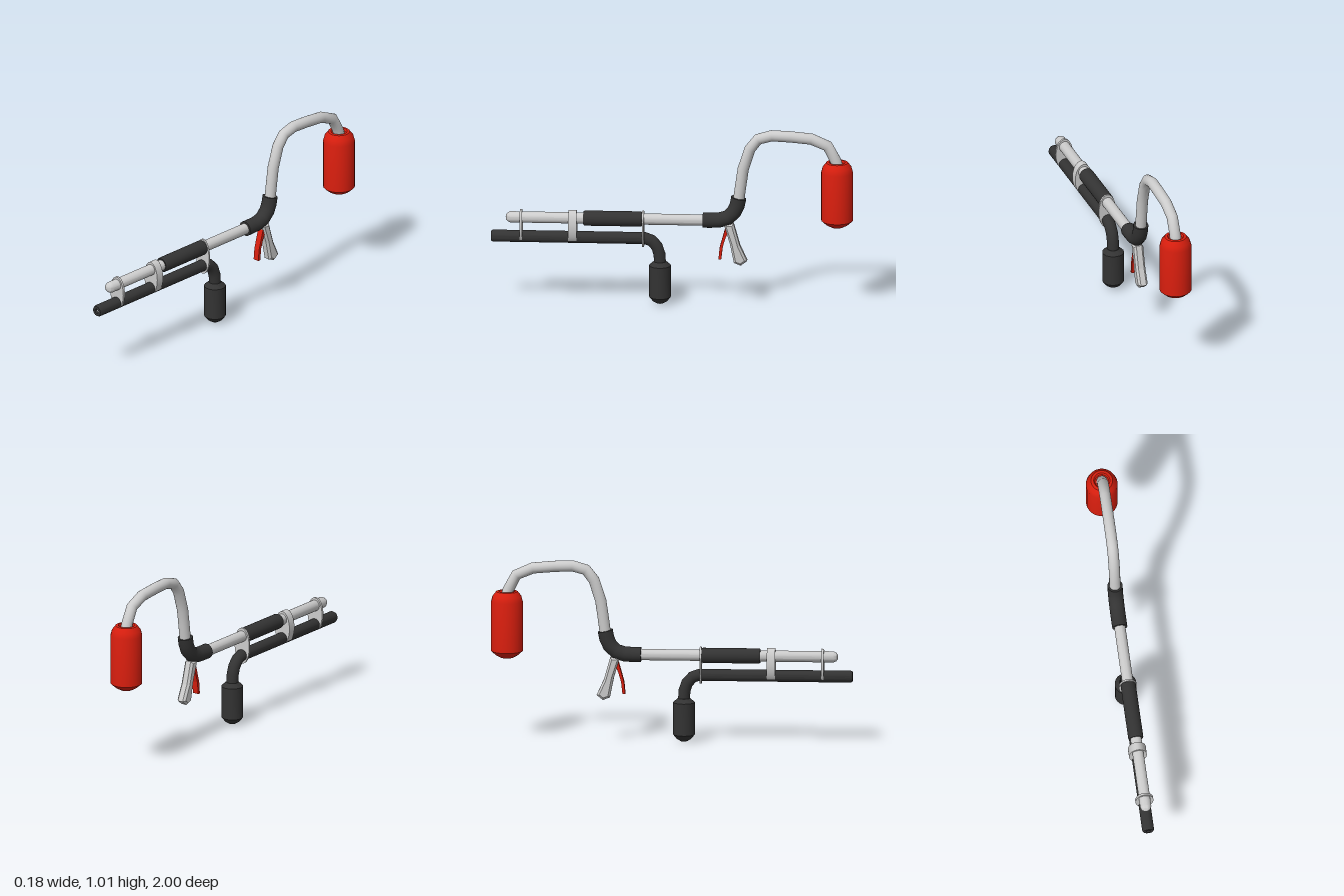
import * as THREE from 'three';
import { toCreasedNormals } from 'three/addons/utils/BufferGeometryUtils.js';

const mat = (color) => new THREE.MeshStandardMaterial({ color, side: THREE.DoubleSide });

export function createModel() {
  const model = new THREE.Group();
  const light = mat(0xcccccc), dark = mat(0x333333), red = mat(0xd81e0e);

  const add = (name, geometry, material, y = 0, z = 0) => {
    const mesh = new THREE.Mesh(geometry, material);
    mesh.name = name;
    mesh.position.set(0, y, z);
    model.add(mesh);
    return mesh;
  };

  // Turned part from [radius, height] pairs, bottom to top
  const turned = (profile, sides = 24) => toCreasedNormals(
    new THREE.LatheGeometry(profile.map(([r, h]) => new THREE.Vector2(r, h)), sides), 0.5);

  // Turned part lying along z
  const rod = (profile) => turned(profile).rotateX(Math.PI / 2);

  // Bent pipe through [z, y] points, with one ring at each point and closed ends
  const pipe = (name, points, radius, material) => {
    const curve = new THREE.CatmullRomCurve3(points.map(([z, y]) => new THREE.Vector3(0, y, z)));
    curve.getPointAt = curve.getPoint;
    curve.getTangentAt = curve.getTangent;
    add(name, new THREE.TubeGeometry(curve, points.length - 1, radius, 20), material);
    for (const t of [0, 1]) {
      const cap = add(name + 'End', new THREE.CircleGeometry(radius, 20), material);
      const p = curve.getPoint(t);
      cap.position.copy(p);
      cap.lookAt(p.clone().addScaledVector(curve.getTangent(t), t ? 1 : -1));
    }
  };

  // Side outline of [z, y] points, extruded across x and centred
  const slab = (outline, width, bevel) => {
    const shape = new THREE.Shape(outline.map(([z, y]) => new THREE.Vector2(-z, y)));
    const g = new THREE.ExtrudeGeometry(shape, {
      depth: width - 2 * bevel, bevelEnabled: bevel > 0, bevelSize: bevel,
      bevelThickness: bevel, bevelOffset: -bevel, bevelSegments: 1,
    });
    return g.translate(0, 0, bevel - width / 2).rotateY(Math.PI / 2);
  };

  // Upper tube with a stepped nose
  add('upperTube', rod([[0, -0.25], [0.031, -0.25], [0.031, 0.895], [0.024, 0.91], [0.013, 0.918], [0, 0.92]]), light, 0.49);

  // Padded sleeve on the upper tube
  add('sleeve', rod([[0, 0.165], [0.038, 0.165], [0.042, 0.172], [0.042, 0.483], [0.038, 0.49], [0, 0.49]]), dark, 0.49);

  // Lower barrel with a pale bore
  add('lowerBarrel', rod([[0, 0.17], [0.033, 0.17], [0.033, 0.99], [0.028, 1], [0.013, 1], [0.013, 0.975]]), dark, 0.38);
  add('bore', new THREE.CircleGeometry(0.013, 20), light, 0.38, 0.985);
  pipe('lowerElbow', [[0.18, 0.38], [0.15, 0.38], [0.115, 0.367], [0.085, 0.335], [0.07, 0.29], [0.067, 0.235]], 0.033, dark);

  // Hanging front grip
  add('frontGrip', turned([[0, 0.003], [0.02, 0.008], [0.042, 0.022], [0.06, 0.045], [0.06, 0.225], [0.034, 0.248], [0, 0.248]]), dark, 0, 0.067);

  // Oval brackets joining the two tubes: z, thickness, centre y, half height
  for (const [z, thickness, y, half] of [[0.835, 0.013, 0.441, 0.094], [0.55, 0.046, 0.441, 0.094], [0.16, 0.01, 0.434, 0.104]]) {
    const oval = new THREE.CylinderGeometry(0.05, 0.05, thickness, 32).rotateX(Math.PI / 2);
    add('bracket', oval.scale(1, half / 0.05, 1), light, y, z);
  }

  // Rear joint and the arched hose leading to the tank
  pipe('rearJoint', [[-0.17, 0.49], [-0.21, 0.49], [-0.26, 0.492], [-0.308, 0.507], [-0.343, 0.542], [-0.36, 0.58], [-0.368, 0.623]], 0.042, dark);
  pipe('archedHose', [[-0.365, 0.59], [-0.38, 0.7], [-0.393, 0.79], [-0.43, 0.905], [-0.475, 0.963],
    [-0.55, 0.984], [-0.65, 0.98], [-0.77, 0.969], [-0.86, 0.93], [-0.905, 0.845], [-0.912, 0.82]], 0.031, light);

  // Hanging tank
  add('tank', turned([[0, 0.458], [0.035, 0.465], [0.062, 0.48], [0.088, 0.503], [0.088, 0.78], [0.08, 0.81],
    [0.06, 0.836], [0.045, 0.838], [0.038, 0.828], [0, 0.828]]), red, 0, -0.912);

  // Rear handle with bevelled sides
  add('handle', slab([[-0.285, 0.475], [-0.34, 0.475], [-0.375, 0.35], [-0.415, 0.262], [-0.38, 0.235], [-0.342, 0.25], [-0.32, 0.36]], 0.056, 0.012), light);

  // Curved trigger lever
  add('trigger', slab([[-0.295, 0.45], [-0.32, 0.45], [-0.295, 0.39], [-0.28, 0.34], [-0.272, 0.27], [-0.257, 0.27], [-0.263, 0.335], [-0.278, 0.39]], 0.036, 0), red);

  return model;
}
